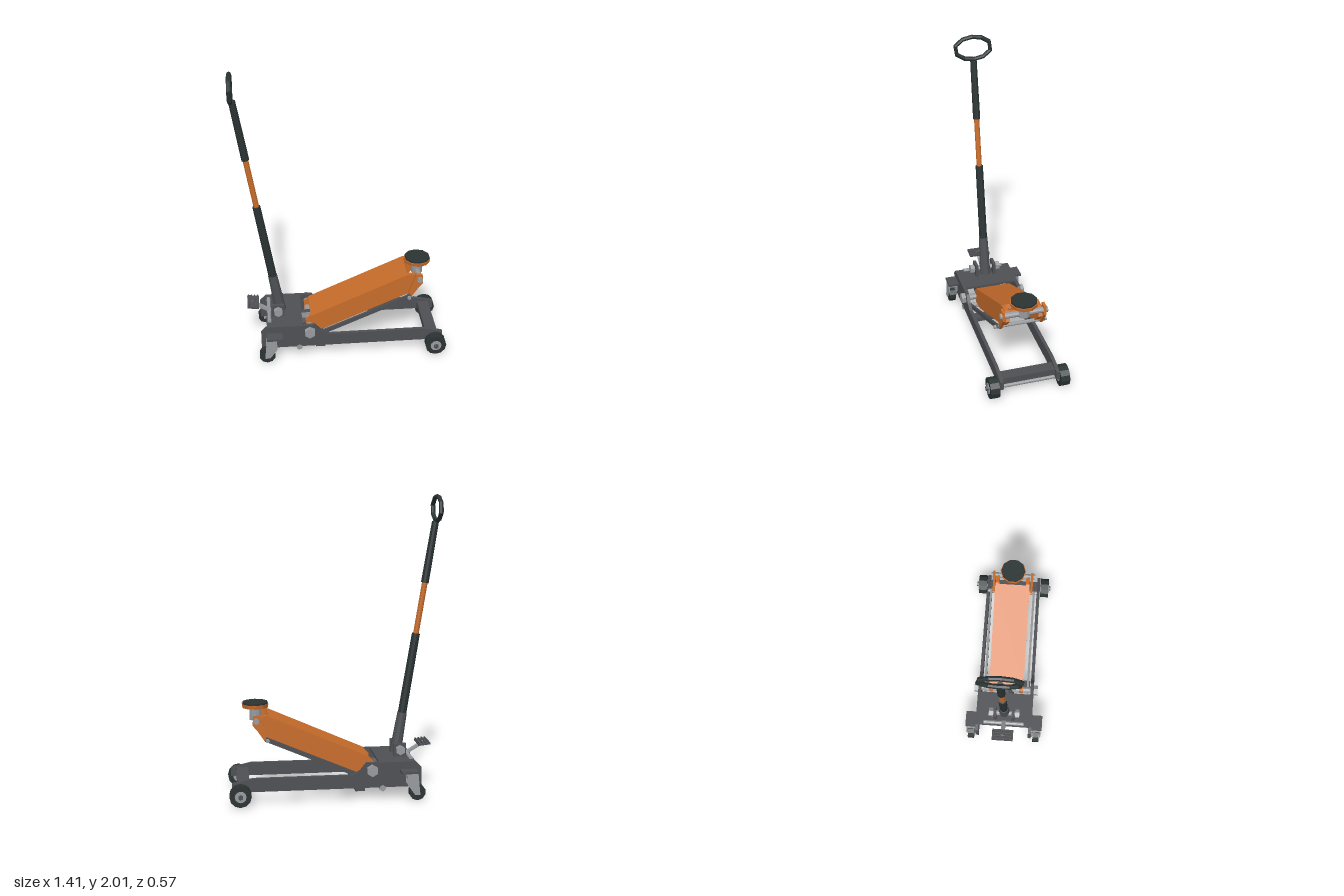
import * as THREE from 'three';

const mat = (name, color, flat = true) => {
  const m = new THREE.MeshStandardMaterial({ color });
  m.name = name;
  m.flatShading = flat;
  return m;
};

export function createModel() {
  const root = new THREE.Group();
  root.name = 'floorJack';
  const grey = mat('frameGrey', 0x4e5054);
  const black = mat('rubberBlack', 0x2b3333);
  const orange = mat('orangePaint', 0xc96d2b);
  const steel = mat('steel', 0x989b9e);
  const V = (x, y, z = 0) => new THREE.Vector3(x, y, z);

  const add = (name, geo, material, x = 0, y = 0, z = 0) => {
    const m = new THREE.Mesh(geo, material);
    m.name = name;
    m.position.set(x, y, z);
    root.add(m);
    return m;
  };
  // Box given by its ranges
  const box = (name, material, x0, x1, y0, y1, z0, z1) =>
    add(name, new THREE.BoxGeometry(x1 - x0, y1 - y0, z1 - z0), material,
      (x0 + x1) / 2, (y0 + y1) / 2, (z0 + z1) / 2);
  // Cylinder between two points
  const rod = (name, material, a, b, r0, r1 = r0, sides = 10) => {
    const m = add(name, new THREE.CylinderGeometry(r1, r0, a.distanceTo(b), sides), material);
    m.position.copy(a).lerp(b, 0.5);
    m.quaternion.setFromUnitVectors(V(0, 1), b.clone().sub(a).normalize());
    return m;
  };
  const pin = (name, material, x, y, z0, z1, r, sides = 10) =>
    rod(name, material, V(x, y, z0), V(x, y, z1), r, r, sides);
  // Side profile extruded across z
  const plate = (name, material, pts, z0, z1) => {
    const shape = new THREE.Shape(pts.map(p => new THREE.Vector2(...p)));
    const geo = new THREE.ExtrudeGeometry(shape, { depth: z1 - z0, bevelEnabled: false });
    return add(name, geo, material, 0, 0, z0);
  };
  // Rectangular bar running between two points of the side plane
  const bar = (name, material, a, b, height, z0, z1) => {
    const m = add(name, new THREE.BoxGeometry(a.distanceTo(b), height, z1 - z0), material,
      (a.x + b.x) / 2, (a.y + b.y) / 2, (z0 + z1) / 2);
    m.rotation.z = Math.atan2(b.y - a.y, b.x - a.x);
    return m;
  };
  // Same part on both sides: fn receives a function giving mirrored z ranges
  const both = fn => [1, -1].forEach(s => fn((a, b) => (s > 0 ? [a, b] : [-b, -a])));

  // Chassis
  const sideProfile = [[-0.57, 0.08], [0.685, 0.08], [0.685, 0.14], [0.55, 0.17], [-0.11, 0.17],
    [-0.16, 0.2], [-0.2, 0.25], [-0.53, 0.25], [-0.57, 0.21]];
  both(z => plate('sideRail', grey, sideProfile, ...z(0.18, 0.203)));
  box('rearDeck', grey, -0.53, -0.285, 0.235, 0.25, -0.18, 0.18);
  box('frontCrossbeam', grey, 0.57, 0.65, 0.095, 0.14, -0.18, 0.18);
  box('lowerCrossPlate', grey, -0.195, -0.13, 0.05, 0.08, -0.175, 0.175);
  pin('rearRod', steel, -0.51, 0.255, -0.145, 0.145, 0.013, 8);
  pin('lowerRod', steel, -0.31, 0.073, -0.205, 0.205, 0.022, 6);

  // Hydraulic unit under the deck
  box('pumpBody', grey, -0.46, -0.3, 0.1, 0.235, -0.08, 0.08);
  rod('ramCylinder', grey, V(-0.32, 0.17), V(-0.13, 0.185), 0.06);
  rod('ramPiston', steel, V(-0.13, 0.185), V(-0.03, 0.235), 0.035);
  pin('ramPin', steel, -0.03, 0.24, -0.1, 0.1, 0.018);

  // Front wheels and axle
  pin('frontAxle', steel, 0.633, 0.07, -0.285, 0.285, 0.015);
  both(z => {
    pin('frontWheel', black, 0.633, 0.07, ...z(0.208, 0.27), 0.072, 12);
    pin('frontHub', steel, 0.633, 0.07, ...z(0.205, 0.274), 0.038, 12);
    pin('frontAxleNut', grey, 0.633, 0.07, ...z(0.27, 0.287), 0.017, 6);
  });

  // Rear swivel casters
  both(z => {
    box('casterMount', grey, -0.535, -0.425, 0.185, 0.2, ...z(0.2, 0.278));
    const [a, b] = z(0.2, 0.278);
    rod('casterSwivel', steel, V(-0.49, 0.165, (a + b) / 2), V(-0.49, 0.186, (a + b) / 2), 0.034);
    box('casterTop', steel, -0.54, -0.465, 0.15, 0.168, ...z(0.208, 0.27));
    const fork = [[-0.55, 0.04], [-0.515, 0.04], [-0.465, 0.11], [-0.465, 0.186], [-0.535, 0.186]];
    plate('casterForkInner', steel, fork, ...z(0.205, 0.213));
    plate('casterForkOuter', steel, fork, ...z(0.264, 0.272));
    pin('casterWheel', black, -0.533, 0.055, ...z(0.216, 0.261), 0.055, 10);
    pin('casterAxle', steel, -0.533, 0.055, ...z(0.203, 0.276), 0.012, 8);
  });

  // Main pivot
  pin('mainPivot', steel, -0.237, 0.2, -0.205, 0.205, 0.022);
  both(z => pin('pivotNut', steel, -0.237, 0.2, ...z(0.203, 0.232), 0.039, 6));

  // Lifting arm: channel with side plates, top plate and braces
  const armSide = [[-0.26, 0.18], [-0.22, 0.155], [-0.13, 0.165], [0.465, 0.425], [0.54, 0.5],
    [0.505, 0.565], [0.45, 0.57], [-0.225, 0.272], [-0.26, 0.235]];
  both(z => plate('armSide', orange, armSide, ...z(0.096, 0.123)));
  bar('armTop', orange, V(-0.222, 0.264), V(0.445, 0.56), 0.018, -0.125, 0.125);
  bar('armLowerBrace', orange, V(0.02, 0.28), V(0.06, 0.298), 0.07, -0.1, 0.1);
  bar('armUpperBrace', orange, V(0.33, 0.42), V(0.38, 0.442), 0.05, -0.1, 0.1);

  // Levelling links
  both(z => {
    bar('levelLink', grey, V(-0.27, 0.105), V(0.46, 0.42), 0.028, ...z(0.15, 0.166));
    pin('linkAnchor', steel, -0.265, 0.107, ...z(0.145, 0.182), 0.015, 8);
  });
  pin('linkPin', steel, 0.449, 0.413, -0.18, 0.18, 0.013, 8);

  // Saddle head
  const headSide = [[0.435, 0.405], [0.465, 0.4], [0.515, 0.475], [0.545, 0.51], [0.54, 0.575],
    [0.495, 0.58], [0.47, 0.5]];
  both(z => plate('headBracket', orange, headSide, ...z(0.13, 0.147)));
  pin('headPin', steel, 0.522, 0.54, -0.16, 0.16, 0.02);
  rod('saddleNeck', steel, V(0.522, 0.52), V(0.522, 0.605), 0.04);
  rod('saddleCup', orange, V(0.522, 0.604), V(0.522, 0.628), 0.088, 0.092, 10);
  rod('saddlePad', black, V(0.522, 0.628), V(0.522, 0.641), 0.086, 0.086, 10);

  // Handle lugs and pivot
  both(z => {
    box('handleLug', grey, -0.49, -0.405, 0.24, 0.34, ...z(0.055, 0.075));
    pin('handleNut', steel, -0.447, 0.3, ...z(0.08, 0.11), 0.032, 6);
  });
  pin('handlePivot', steel, -0.447, 0.3, -0.09, 0.09, 0.018);

  // Handle, all sections on one leaning line
  const at = y => V(-0.387 - 0.163 * y, y);
  rod('handleSocket', grey, at(0.26), at(0.54), 0.04, 0.032, 10);
  rod('handleLower', black, at(0.53), at(1.08), 0.029, 0.027, 10);
  rod('handleMiddle', orange, at(1.07), at(1.43), 0.019, 0.019, 10);
  rod('handleGrip', black, at(1.42), at(1.825), 0.026, 0.023, 10);

  // Oval grip ring
  const ringPoints = [];
  for (let i = 0; i < 10; i++) {
    const a = (i + 0.5) / 10 * Math.PI * 2;
    ringPoints.push(V(-0.694, 1.91 + 0.079 * Math.sin(a), 0.129 * Math.cos(a)));
  }
  const ringCurve = new THREE.CatmullRomCurve3(ringPoints, true);
  add('gripRing', new THREE.TubeGeometry(ringCurve, 10, 0.0155, 8, true), black);

  // Foot pedal with ridges
  bar('pedalLever', steel, V(-0.625, 0.33), V(-0.5, 0.255), 0.018, -0.015, 0.015);
  bar('pedalPlate', grey, V(-0.657, 0.334), V(-0.577, 0.325), 0.012, -0.075, 0.075);
  for (let i = 0; i < 4; i++) {
    const x = -0.648 + i * 0.021;
    box('pedalRidge', grey, x - 0.004, x + 0.004, 0.33, 0.346 - i * 0.002, -0.075, 0.075);
  }
  return root;
}
